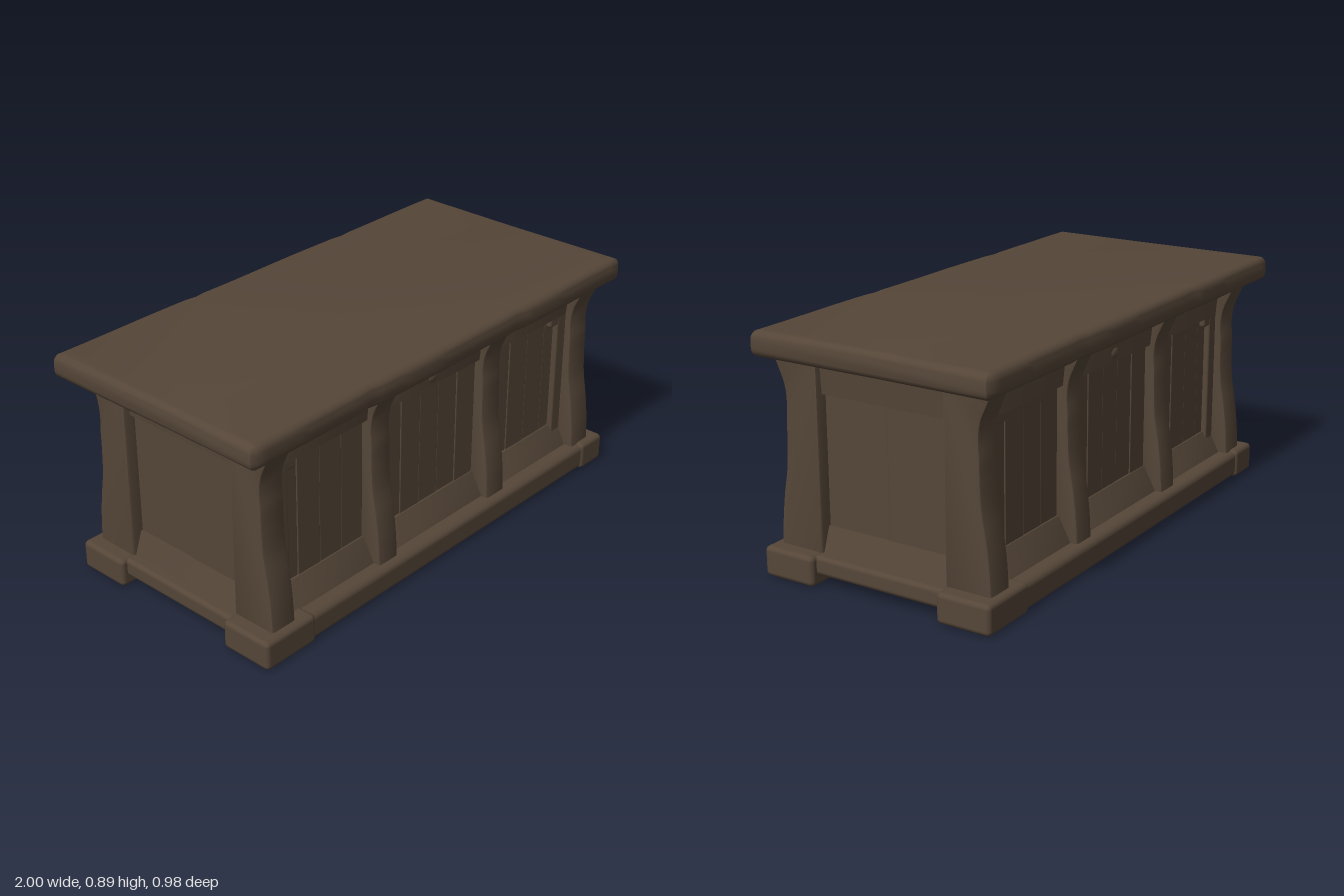
import * as THREE from 'three';
import { toCreasedNormals } from 'three/addons/utils/BufferGeometryUtils.js';
import { RoundedBoxGeometry } from 'three/addons/geometries/RoundedBoxGeometry.js';

const wood = new THREE.MeshStandardMaterial({ color: 0x554638 });
wood.name = 'dark wood';

function add(parent, name, geometry) {
  const mesh = new THREE.Mesh(geometry, wood);
  mesh.name = name;
  parent.add(mesh);
  return mesh;
}

// Rounded block given by its lower and upper bounds
function block(parent, name, x0, x1, y0, y1, z0, z1, r = 0.008) {
  const g = new RoundedBoxGeometry(x1 - x0, y1 - y0, z1 - z0, 2, r);
  g.translate((x0 + x1) / 2, (y0 + y1) / 2, (z0 + z1) / 2);
  return add(parent, name, g);
}

// Outline in (z, y) swept along x from x0 to x1 with softened ends
function sweep(shape, x0, x1, bevel) {
  const g = new THREE.ExtrudeGeometry(shape, {
    depth: x1 - x0 - 2 * bevel, bevelEnabled: true, bevelThickness: bevel,
    bevelSize: bevel, bevelOffset: -bevel, bevelSegments: 2, curveSegments: 20,
  });
  g.rotateY(-Math.PI / 2);
  g.translate(x1 - bevel, 0, 0);
  return toCreasedNormals(g, 0.6);
}

// Waisted leg outline, flaring to the foot and the top
function legShape(back, inset) {
  const curve = [[0.437, 0.2], [0.425, 0.3], [0.408, 0.4], [0.402, 0.5], [0.401, 0.57],
    [0.397, 0.64], [0.405, 0.7], [0.43, 0.76], [0.454, 0.81]];
  const s = new THREE.Shape();
  s.moveTo(back, 0.1);
  s.lineTo(0.443 - inset, 0.1);
  s.splineThru(curve.map(([z, y]) => new THREE.Vector2(z - inset, y)));
  s.lineTo(back, 0.81);
  return s;
}

// Rail whose face leans from depth zLow at y0 to zHigh at y1
function railShape(back, y0, y1, zLow, zHigh) {
  return new THREE.Shape([[back, y0], [zLow, y0], [zHigh, y1], [back, y1]]
    .map(([z, y]) => new THREE.Vector2(z, y)));
}

// Row of close-set planks facing +z, in front of a backing board
function planks(parent, x0, x1, count, z) {
  const w = (x1 - x0) / count;
  block(parent, 'backing', x0, x1, 0.15, 0.71, z - 0.03, z - 0.006, 0.002);
  for (let i = 0; i < count; i++) {
    const front = z + 0.0015 * ((i * 2) % 3);
    block(parent, 'plank', x0 + i * w, x0 + (i + 1) * w, 0.17, 0.71, z - 0.02, front, 0.003);
  }
}

// One long face and one end; turned half round for the other two
function createHalf() {
  const half = new THREE.Group();

  // Legs
  for (const s of [-1, 1]) {
    add(half, 'cornerLeg', sweep(legShape(0.26, 0), s < 0 ? -0.91 : 0.8, s < 0 ? -0.8 : 0.91, 0.01));
    add(half, 'middleLeg', sweep(legShape(0.31, 0.008), s < 0 ? -0.36 : 0.26, s < 0 ? -0.26 : 0.365, 0.01));
  }

  // Long panels between the legs
  for (const [x0, x1, count] of [[-0.8, -0.36, 4], [-0.26, 0.26, 5], [0.365, 0.8, 4]]) {
    planks(half, x0, x1, count, 0.35);
    add(half, 'topRail', sweep(railShape(0.32, 0.68, 0.81, 0.372, 0.385), x0 - 0.02, x1 + 0.02, 0.004));
    add(half, 'bottomRail', sweep(railShape(0.32, 0.1, 0.2, 0.41, 0.358), x0 - 0.02, x1 + 0.02, 0.004));
  }
  for (const s of [-1, 1]) {
    block(half, 'stile', s * 0.785 - 0.035, s * 0.785 + 0.035, 0.15, 0.7, 0.32, 0.372);
    block(half, 'cornerBlock', s * 0.735 - 0.03, s * 0.735 + 0.03, 0.645, 0.7, 0.32, 0.371, 0.012);
  }
  // Round knot on the middle rail
  const knot = add(half, 'knot', new THREE.SphereGeometry(0.028, 14, 10));
  knot.scale.set(1, 0.8, 0.4);
  knot.position.set(-0.01, 0.715, 0.372);

  // Feet and plinth
  block(half, 'wideFoot', -0.97, -0.73, 0, 0.112, 0.26, 0.475, 0.018);
  block(half, 'narrowFoot', 0.83, 0.97, 0, 0.112, 0.26, 0.475, 0.018);
  block(half, 'longPlinth', -0.76, 0.86, 0.003, 0.107, 0.41, 0.468, 0.024);
  block(half, 'plinthLedge', -0.8, 0.86, 0.05, 0.107, 0.33, 0.45, 0.01);

  // End panel, built facing +z then turned to face +x
  const end = new THREE.Group();
  end.name = 'endPanel';
  planks(end, -0.27, 0.27, 2, 0.862);
  add(end, 'endTopRail', sweep(railShape(0.83, 0.68, 0.81, 0.882, 0.89), -0.27, 0.27, 0.004));
  add(end, 'endBottomRail', sweep(railShape(0.83, 0.1, 0.2, 0.905, 0.87), -0.27, 0.27, 0.004));
  block(end, 'endPlinth', -0.28, 0.28, 0.04, 0.112, 0.82, 0.945, 0.018);
  end.rotation.y = Math.PI / 2;
  half.add(end);
  return half;
}

// Thick slab with soft edges and a few nicks along the long sides
function createTop() {
  const shape = new THREE.Shape();
  const n = 40;
  const edge = [];
  for (let i = 0; i <= n; i++) {
    const x = -0.985 + 1.97 * i / n;
    const nick = i === 29 || i === 13 ? 0.006 : 0;
    edge.push([x, 0.489 + 0.002 * Math.sin(x * 9) - nick]);
  }
  const corner = 0.478;
  const pts = [[-1, corner], ...edge, [1, corner], [0.995, 0.05], [1, -corner],
    ...edge.map(([x, z]) => [-x, -z]), [-1, -corner], [-0.997, -0.1]];
  pts.reverse().forEach(([x, z], i) => (i ? shape.lineTo(x, z) : shape.moveTo(x, z)));
  const b = 0.032;
  const g = new THREE.ExtrudeGeometry(shape, {
    depth: 0.094 - 2 * b, bevelEnabled: true, bevelThickness: b, bevelSize: b * 0.85,
    bevelOffset: -b * 0.85, bevelSegments: 5,
  });
  g.rotateX(-Math.PI / 2);
  g.translate(0, 0.798 + b, 0);
  return toCreasedNormals(g, 0.7);
}

export function createModel() {
  const model = new THREE.Group();
  model.name = 'woodenCounter';

  // Body sits slightly off centre under the top
  const body = new THREE.Group();
  body.name = 'body';
  body.position.x = 0.02;
  block(body, 'core', -0.85, 0.85, 0.045, 0.82, -0.335, 0.335, 0.005);
  block(body, 'underside', -0.9, 0.9, 0.04, 0.08, -0.44, 0.44, 0.005);
  for (const name of ['frontHalf', 'backHalf']) {
    const half = createHalf();
    half.name = name;
    if (name === 'backHalf') half.rotation.y = Math.PI;
    body.add(half);
  }
  model.add(body);

  add(model, 'top', createTop());
  return model;
}
